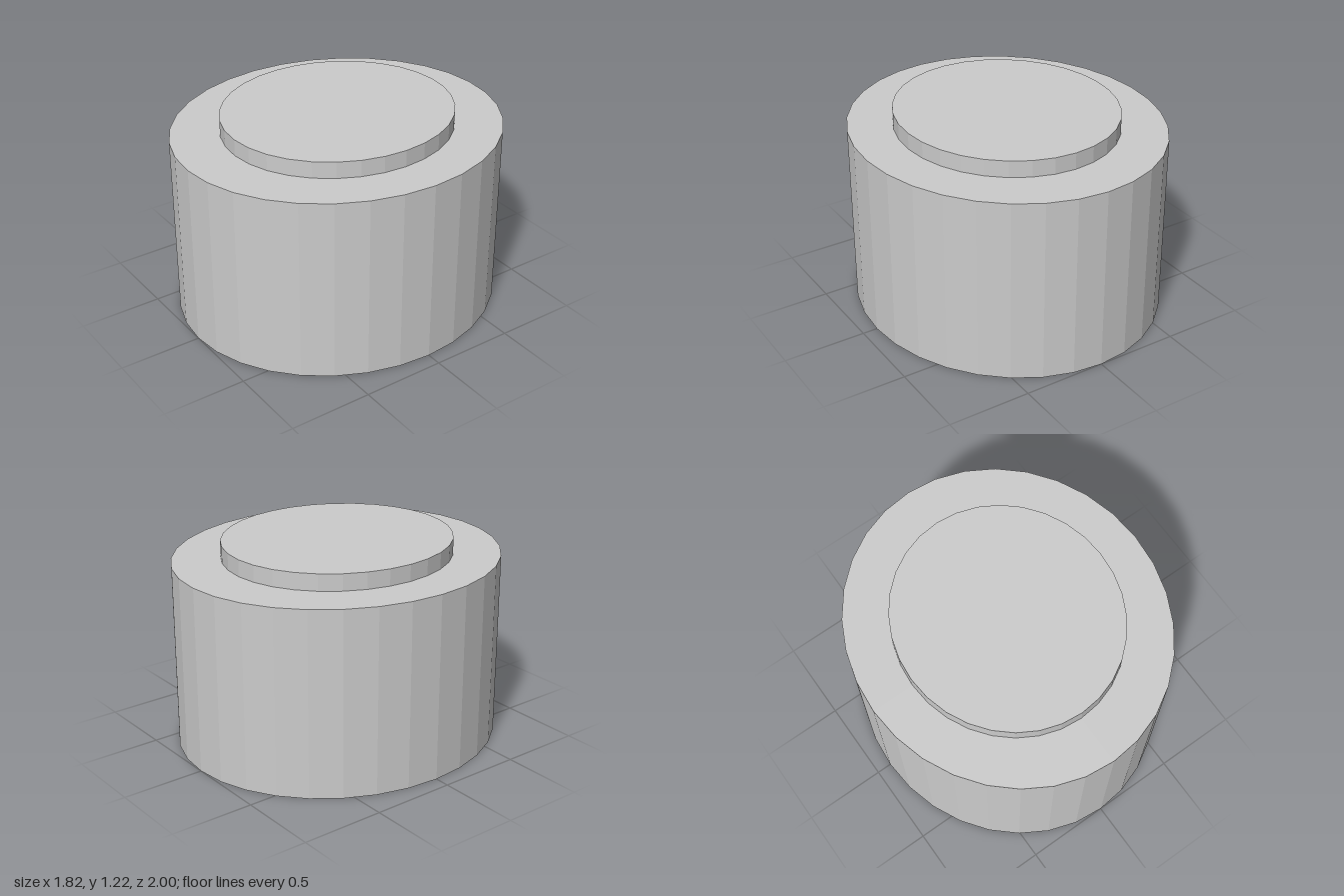
import * as THREE from 'three';

const SIDES = 32;

// Upright faceted disc with an oval footprint, resting on y = base
function ovalDrum(name, radiusX, radiusZ, base, top, material) {
  const height = top - base;
  const geometry = new THREE.CylinderGeometry(1, 1, height, SIDES);
  geometry.scale(radiusX, 1, radiusZ);
  geometry.translate(0, base + height / 2, 0);
  const mesh = new THREE.Mesh(geometry, material);
  mesh.name = name;
  return mesh;
}

export function createModel() {
  const material = new THREE.MeshStandardMaterial({ color: 0xcccccc, flatShading: true });
  const group = new THREE.Group();
  group.name = 'ovalDrumWithRaisedTop';
  group.add(
    ovalDrum('body', 0.91, 1, 0, 1.12, material),
    ovalDrum('raisedTop', 0.65, 0.7, 1.12, 1.22, material),
  );
  return group;
}
